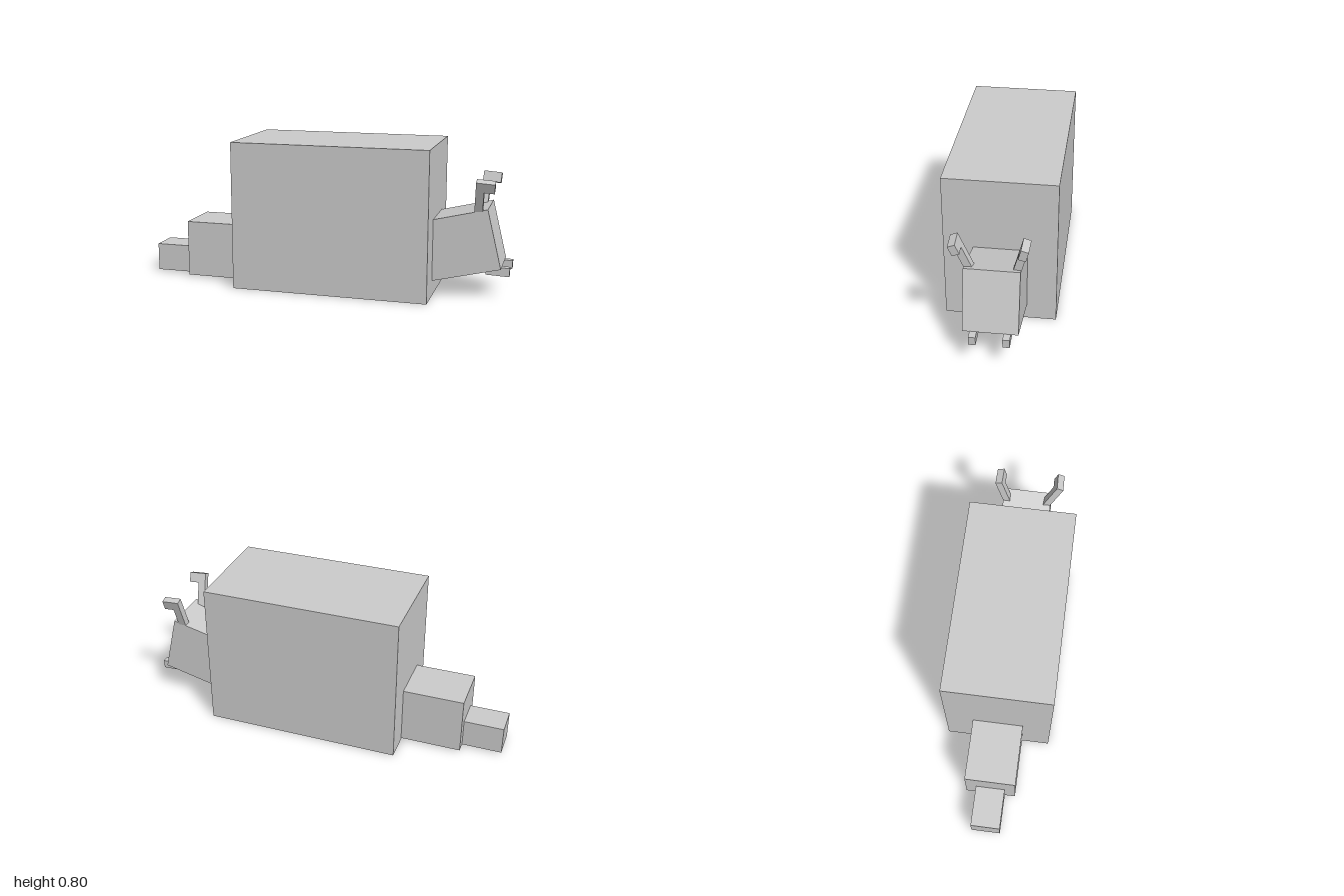
import * as THREE from 'three';

export function createModel() {
  const model = new THREE.Group();
  const grey = new THREE.MeshStandardMaterial({ color: 0xcccccc });
  grey.name = 'lightGrey';
  grey.flatShading = true;

  // Adds a named box, optionally tilted about z
  function box(parent, name, size, position, tilt = 0) {
    const mesh = new THREE.Mesh(new THREE.BoxGeometry(...size), grey);
    mesh.name = name;
    mesh.position.set(...position);
    mesh.rotation.z = tilt;
    parent.add(mesh);
    return mesh;
  }

  // Body and stepped tail
  box(model, 'body', [1.06, 0.797, 0.572], [0.07, 0.3985, 0]);
  box(model, 'tailBase', [0.326, 0.308, 0.272], [-0.623, 0.164, 0]);
  box(model, 'tailTip', [0.214, 0.152, 0.158], [-0.893, 0.086, 0]);

  // Head, tilted upward and sunk into the body
  box(model, 'head', [0.38, 0.32, 0.272], [0.733, 0.282, 0], 0.24);

  // Eye stalks, splayed outward, each with a forward-pointing eye
  const stalks = [
    { name: 'leftEyeStalk', side: 1, splay: 0.382, length: 0.171 },
    { name: 'rightEyeStalk', side: -1, splay: 0.267, length: 0.161 },
  ];
  for (const { name, side, splay, length } of stalks) {
    const stalk = new THREE.Group();
    stalk.name = name;
    stalk.position.set(0.832, 0.477, side * 0.119);
    stalk.rotation.set(side * splay, 0, -0.07);
    box(stalk, 'stem', [0.042, length + 0.03, 0.038], [0, (length - 0.03) / 2, 0]);
    box(stalk, 'eye', [0.054, 0.055, 0.038], [0.048, length - 0.0275, 0]);
    model.add(stalk);
  }

  // Pair of teeth under the snout
  for (const side of [1, -1]) {
    box(model, side > 0 ? 'leftTooth' : 'rightTooth',
      [0.123, 0.046, 0.035], [0.936, 0.151, side * 0.082], -0.04);
  }
  return model;
}
